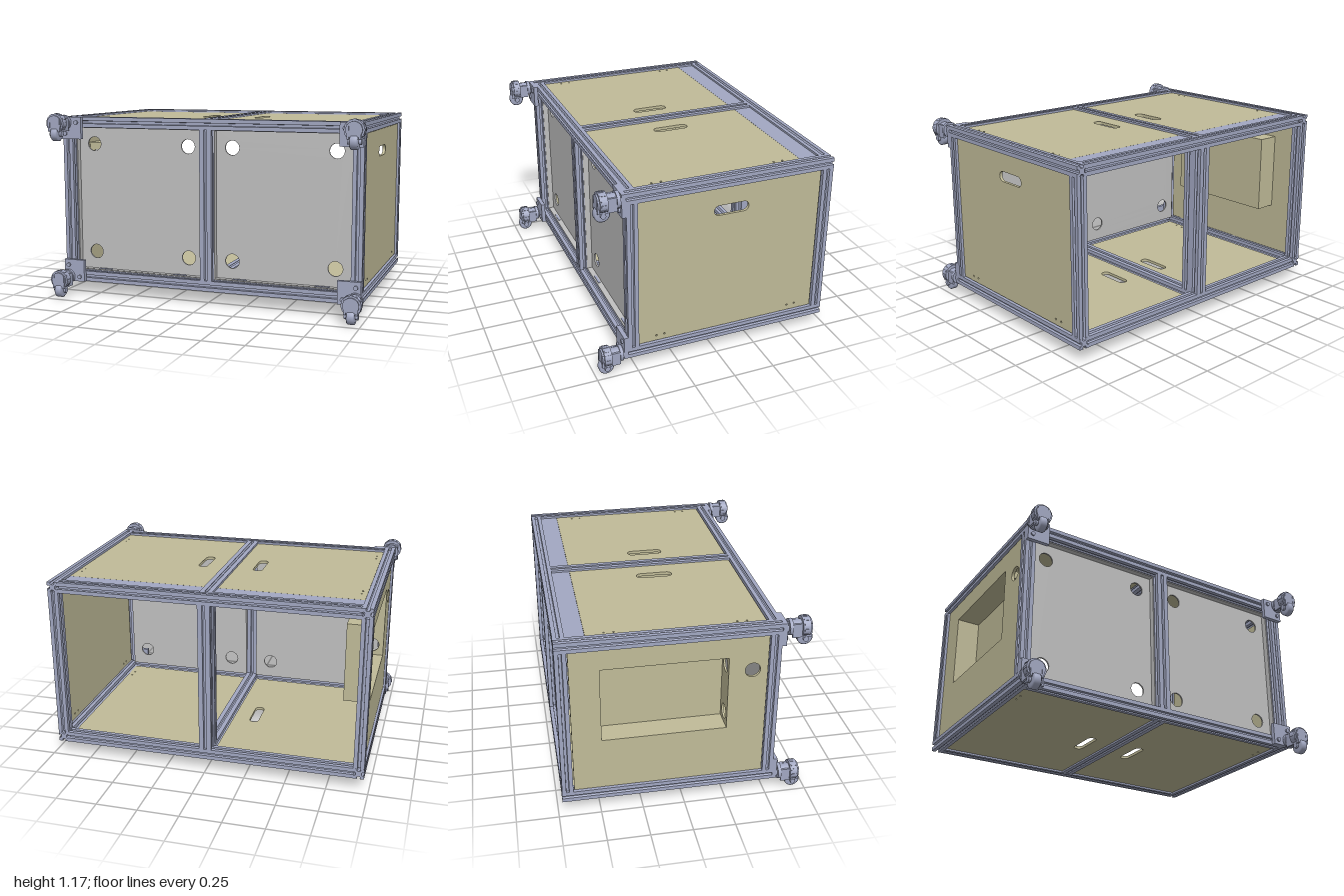
import * as THREE from 'three';

const material = (name, color) => Object.assign(new THREE.MeshStandardMaterial({ color }), { name });

export function createModel() {
  const model = new THREE.Group();
  model.name = 'wheeledCabinet';
  const metal = material('blue grey metal', 0xa2a8c2);
  const board = material('tan board', 0xc0bb98);
  const sheet = material('grey sheet', 0xc0c0c0);

  const add = (parent, name, geo, mat, x = 0, y = 0, z = 0) => {
    const mesh = new THREE.Mesh(geo, mat);
    mesh.name = name;
    mesh.position.set(x, y, z);
    parent.add(mesh);
    return mesh;
  };
  const box = (parent, name, mat, x0, x1, y0, y1, z0, z1) =>
    add(parent, name, new THREE.BoxGeometry(x1 - x0, y1 - y0, z1 - z0), mat,
      (x0 + x1) / 2, (y0 + y1) / 2, (z0 + z1) / 2);

  // Turn an XY extrusion so that it grows along the chosen axis:
  // 'x' makes shape u = -z, v = y; 'y' makes u = x, v = -z
  const orient = (geo, axis) => {
    if (axis === 'x') geo.rotateY(Math.PI / 2);
    if (axis === 'y') geo.rotateX(-Math.PI / 2);
    return geo;
  };

  // Slotted aluminium profile, a groove in each of its four sides
  const beam = (name, axis, w, h, from, to, x, y, z) => {
    const a = w / 2, b = h / 2, s = 0.009, d = 0.016, t = 0.005;
    const side = (p, q) => [[-s, -q], [-s, -q + t], [-s * 1.6, -q + t], [-s * 0.8, -q + d],
      [s * 0.8, -q + d], [s * 1.6, -q + t], [s, -q + t], [s, -q], [p, -q]];
    const points = [];
    for (let i = 0; i < 4; i++) {
      const c = Math.round(Math.cos(i * Math.PI / 2)), n = Math.round(Math.sin(i * Math.PI / 2));
      for (const [u, v] of i % 2 ? side(b, a) : side(a, b))
        points.push(new THREE.Vector2(u * c - v * n, u * n + v * c));
    }
    const geo = new THREE.ExtrudeGeometry(new THREE.Shape(points), { depth: to - from, bevelEnabled: false });
    geo.translate(0, 0, from);
    return add(model, name, orient(geo, axis), metal, x, y, z);
  };

  // Holes for boards
  const round = (u, v, r, segments = 24) => {
    const points = [];
    for (let i = 0; i < segments; i++) {
      const a = i / segments * Math.PI * 2;
      points.push(new THREE.Vector2(u + r * Math.cos(a), v + r * Math.sin(a)));
    }
    return new THREE.Path(points);
  };
  const slot = (u, v, w, h) => {
    const r = Math.min(w, h) / 2, du = w / 2 - r, dv = h / 2 - r, points = [];
    for (let i = 0; i < 32; i++) {
      const a = (i + 0.5) / 32 * Math.PI * 2, c = Math.cos(a), n = Math.sin(a);
      points.push(new THREE.Vector2(u + r * c + Math.sign(c) * du, v + r * n + Math.sign(n) * dv));
    }
    return new THREE.Path(points);
  };
  const rect = (u0, v0, u1, v1) => [[u0, v0], [u1, v0], [u1, v1], [u0, v1]].map(p => new THREE.Vector2(...p));
  const panel = (name, mat, axis, at, thick, [u0, v0, u1, v1], holes = []) => {
    const shape = new THREE.Shape(rect(u0, v0, u1, v1));
    shape.holes.push(...holes);
    const geo = new THREE.ExtrudeGeometry(shape, { depth: thick, bevelEnabled: false });
    geo.translate(0, 0, at);
    return add(model, name, orient(geo, axis), mat);
  };

  // Frame: long side rails, posts, cross rails
  const S = 0.066, X = 0.937, yLow = 0.114, yHigh = 1.107, zFront = 0.515, zBack = -0.69;
  for (const y of [yLow, yHigh]) {
    for (const x of [-X, X]) beam('sideRail', 'z', S, S, -0.724, 0.548, x, y, 0);
    for (const z of [zFront, zBack]) beam('crossRail', 'x', S, S, -X + S / 2, X - S / 2, 0, y, z);
    beam('centreRail', 'z', 0.076, S, zBack + S / 2, zFront - S / 2, 0, y, 0);
  }
  for (const x of [-X, X])
    for (const z of [zFront, zBack]) beam('cornerPost', 'y', S, S, yLow + S / 2, yHigh - S / 2, x, 0, z);
  beam('frontCentrePost', 'y', 0.076, S, yLow + S / 2, yHigh - S / 2, 0, 0, zFront);
  for (const z of [zBack, zBack + S])
    beam('backCentrePost', 'y', 0.076, S, yLow + S / 2, yHigh - S / 2, 0, 0, z);

  // Top boards, bottom boards, rear top plates and front sheets, one for each half
  for (const s of [-1, 1]) {
    const u = [s * 0.039, s * 0.9].sort((a, b) => a - b);
    const screws = [-0.44, -0.385, 0.31, 0.365].map(z => round(s * 0.868, -z, 0.006, 8));
    panel('topBoard', board, 'y', 1.11, 0.018, [u[0], -0.475, u[1], 0.545],
      [slot(s * 0.178, 0.035, 0.06, 0.22), ...screws]);
    panel('bottomBoard', board, 'y', 0.092, 0.018, [u[0], -0.475, u[1], 0.655],
      [slot(s * 0.178, 0.1, 0.06, 0.22), ...screws.slice(2)]);
    panel('rearTopPlate', metal, 'y', 1.11, 0.018, [u[0], 0.546, u[1], 0.657]);

    const holes = [];
    for (const x of [0.145, 0.793])
      for (const y of [0.265, 0.965]) holes.push(round(s * x, y, 0.045, 32));
    panel('frontSheet', sheet, 'z', 0.455, 0.01, [u[0], 0.15, u[1], 1.072], holes);
    // Folded rims of the front sheet
    box(model, 'sheetRim', sheet, u[0], u[1], 0.148, 0.154, 0.46, 0.5);
    box(model, 'sheetRim', sheet, u[0], u[1], 1.068, 1.073, 0.46, 0.5);
    for (const x of u) box(model, 'sheetRim', sheet, x - 0.003, x + 0.003, 0.15, 1.072, 0.46, 0.5);
    for (const x of [0.2, 0.72])
      box(model, 'rimClip', metal, s * x - 0.045, s * x + 0.045, 0.154, 0.158, 0.475, 0.49);
  }

  // Left side board with a hand slot
  panel('leftBoard', board, 'x', 0.938, 0.018, [-0.478, 0.152, 0.65, 1.068],
    [slot(0.085, 0.93, 0.215, 0.062),
      ...[0.37, 0.32, -0.49, -0.54].map(z => round(-z, 0.186, 0.006, 8))]);

  // Right side board with a sunken box
  const z0 = -0.48, z1 = 0.25, y0 = 0.48, y1 = 0.945, xo = -0.956, xi = -0.81;
  panel('rightBoard', board, 'x', xo, 0.018, [-0.478, 0.152, 0.65, 1.068],
    [new THREE.Path(rect(-z1, y0, -z0, y1)), round(-0.39, 0.855, 0.045)]);
  box(model, 'recessBack', board, xi, xi + 0.012, y0 - 0.012, y1 + 0.012, z0 - 0.012, z1 + 0.012);
  box(model, 'recessFloor', board, xo + 0.018, xi, y0 - 0.012, y0, z0, z1);
  box(model, 'recessCeiling', board, xo + 0.018, xi, y1, y1 + 0.012, z0, z1);
  box(model, 'recessRearWall', board, xo + 0.018, xi, y0 - 0.012, y1 + 0.012, z0 - 0.012, z0);
  panel('recessFrontWall', board, 'z', z1, 0.012, [xo + 0.018, y0 - 0.012, xi, y1 + 0.012],
    [0.55, 0.865].map(y => round(-0.882, y, 0.045)));

  // Levelling casters on square plates at the four front corners
  const disc = (parent, name, r, za, zb, y = 0) =>
    add(parent, name, new THREE.CylinderGeometry(r, r, zb - za, 28).rotateX(Math.PI / 2), metal, 0, y, (za + zb) / 2);
  for (const s of [-1, 1]) {
    for (const [y, low, high] of [[0.112, 0.081, 0.222], [1.105, 1, 1.14]]) {
      const px = [s * 0.83, s * 0.97].sort((a, b) => a - b);
      box(model, 'casterPlate', metal, px[0], px[1], low, high, 0.548, 0.574);
      const py = y < 0.6 ? 0.187 : 1.035;
      for (const [bx, by] of [[s * 0.94, py], [s * 0.862, y]]) {
        const bolt = disc(model, 'plateBolt', 0.013, 0.572, 0.584, by);
        bolt.position.x = bx;
      }
      const caster = new THREE.Group();
      caster.name = 'caster';
      caster.position.set(s * 0.94, y, 0);
      disc(caster, 'stem', 0.03, 0.57, 0.63);
      disc(caster, 'swivelFlange', 0.048, 0.582, 0.602);
      disc(caster, 'hub', 0.04, 0.6, 0.66);
      disc(caster, 'levelRing', 0.059, 0.655, 0.7);
      disc(caster, 'endCap', 0.048, 0.7, 0.71);
      for (let i = 0; i < 12; i++) {
        const a = i / 12 * Math.PI * 2;
        const lug = box(caster, 'ringLug', metal, -0.006, 0.006, -0.004, 0.004, 0.662, 0.694);
        lug.position.x = 0.057 * Math.cos(a);
        lug.position.y = 0.057 * Math.sin(a);
        lug.rotation.z = a + Math.PI / 2;
      }
      // Fork cheeks and wheel
      for (const x of [-0.034, 0.034]) {
        box(caster, 'forkCheek', metal, x - 0.006, x + 0.006, -0.052, 0.03, 0.6, 0.712);
        add(caster, 'axleCap', new THREE.CylinderGeometry(0.016, 0.016, 0.014, 16).rotateZ(Math.PI / 2),
          metal, x, -0.067, 0.68);
      }
      const tread = [[0.012, -0.024], [0.038, -0.024], [0.045, -0.017], [0.045, 0.017], [0.038, 0.024], [0.012, 0.024]];
      add(caster, 'wheel', new THREE.LatheGeometry(tread.map(p => new THREE.Vector2(...p)), 28).rotateZ(Math.PI / 2),
        metal, 0, -0.067, 0.68);
      add(caster, 'axle', new THREE.CylinderGeometry(0.012, 0.012, 0.07, 12).rotateZ(Math.PI / 2),
        metal, 0, -0.067, 0.68);
      model.add(caster);
    }
  }
  return model;
}
